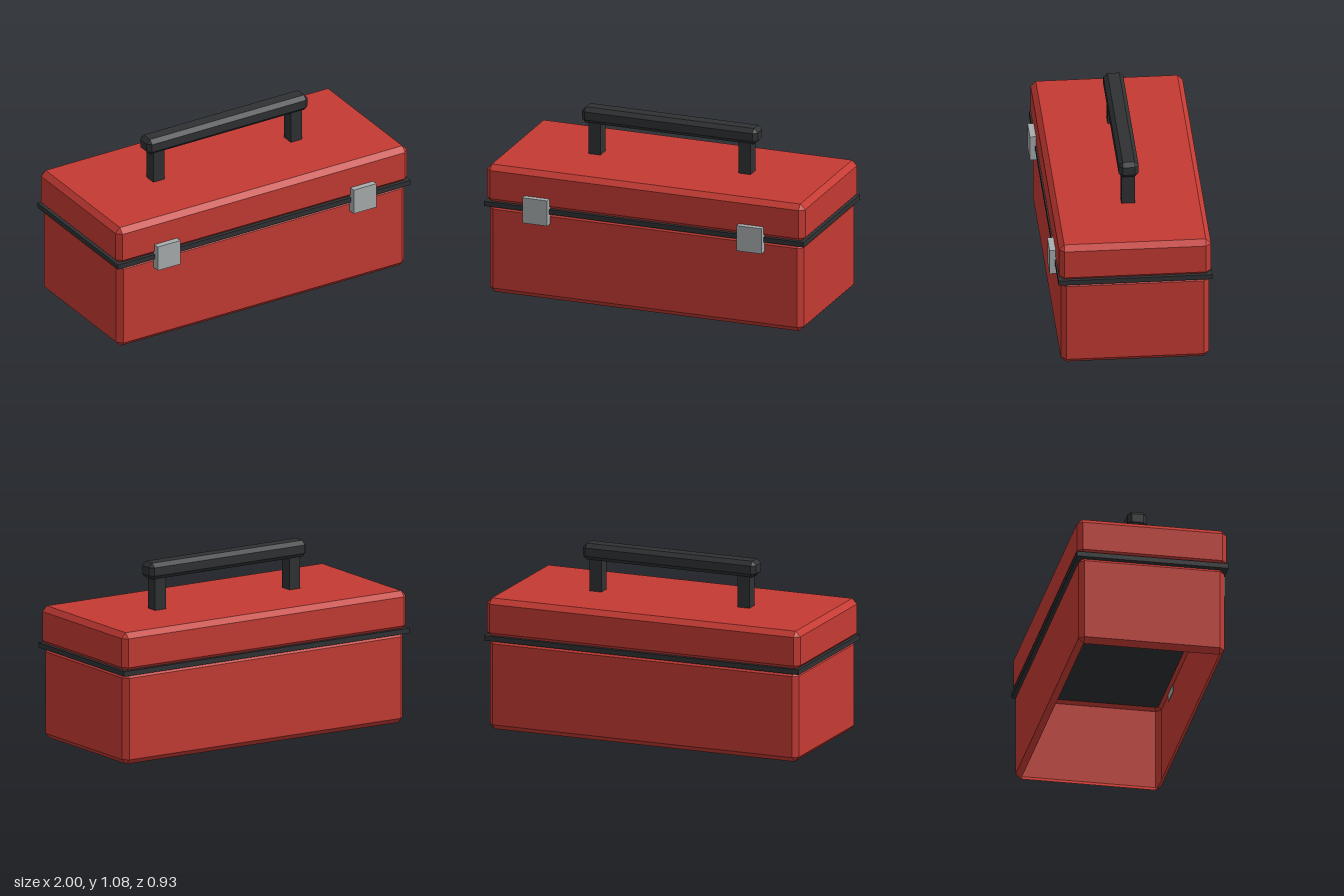
import * as THREE from 'three';

const paint = (color, side = THREE.FrontSide) =>
  new THREE.MeshStandardMaterial({ color, side, flatShading: true });

// Box with every edge chamfered by b; standing on y = 0, optionally without top and bottom.
function chamferBox(w, h, d, b, capped = true) {
  // Eight-sided ring: half sizes reduced by inset, corners cut by cut
  const ring = (y, inset, cut) => {
    const x = w / 2 - inset, z = d / 2 - inset;
    return [
      [x, y, z - cut], [x, y, cut - z], [x - cut, y, -z], [cut - x, y, -z],
      [-x, y, cut - z], [-x, y, z - cut], [cut - x, y, z], [x - cut, y, z],
    ];
  };
  const rings = [ring(0, b, 0), ring(b, 0, b), ring(h - b, 0, b), ring(h, b, 0)];
  const pos = [];
  const tri = (p, q, r) => {
    const same = (m, n) => m.every((v, i) => Math.abs(v - n[i]) < 1e-6);
    if (!same(p, q) && !same(q, r) && !same(p, r)) pos.push(...p, ...q, ...r);
  };
  for (let k = 0; k < 3; k++) {
    for (let i = 0; i < 8; i++) {
      const j = (i + 1) % 8, lo = rings[k], hi = rings[k + 1];
      tri(lo[i], lo[j], hi[j]);
      tri(lo[i], hi[j], hi[i]);
    }
  }
  if (capped) {
    for (let i = 1; i < 7; i++) {
      tri(rings[3][0], rings[3][i], rings[3][i + 1]);
      tri(rings[0][0], rings[0][i + 1], rings[0][i]);
    }
  }
  const geo = new THREE.BufferGeometry();
  geo.setAttribute('position', new THREE.Float32BufferAttribute(pos, 3));
  geo.computeVertexNormals();
  return geo;
}

export function createModel() {
  const group = new THREE.Group();
  const red = paint(0xc43a33, THREE.DoubleSide);
  const dark = paint(0x2f3133);
  const steel = paint(0xa8acae);
  const midZ = -0.015;

  const add = (name, geometry, material, x, y, z) => {
    const mesh = new THREE.Mesh(geometry, material);
    mesh.name = name;
    mesh.position.set(x, y, z);
    group.add(mesh);
  };

  // Body: hollow walls, open below
  add('body', chamferBox(1.966, 0.55, 0.866, 0.031, false), red, 0, 0, midZ);
  add('lid', chamferBox(1.992, 0.235, 0.89, 0.031), red, 0, 0.555, midZ);
  add('seam', new THREE.BoxGeometry(2, 0.03, 0.9), dark, 0, 0.553, midZ);

  // Carrying handle
  add('handleGrip', chamferBox(1.1, 0.098, 0.117, 0.024), dark, 0, 0.977, -0.016);

  // Mirrored pairs
  for (const [side, s] of [['left', 1], ['right', -1]]) {
    add(side + 'HandlePost', new THREE.BoxGeometry(0.075, 0.22, 0.078), dark, s * 0.47, 0.88, -0.014);
    add(side + 'Latch', new THREE.BoxGeometry(0.155, 0.156, 0.05), steel, s * 0.67, 0.553, 0.441);
  }

  return group;
}
